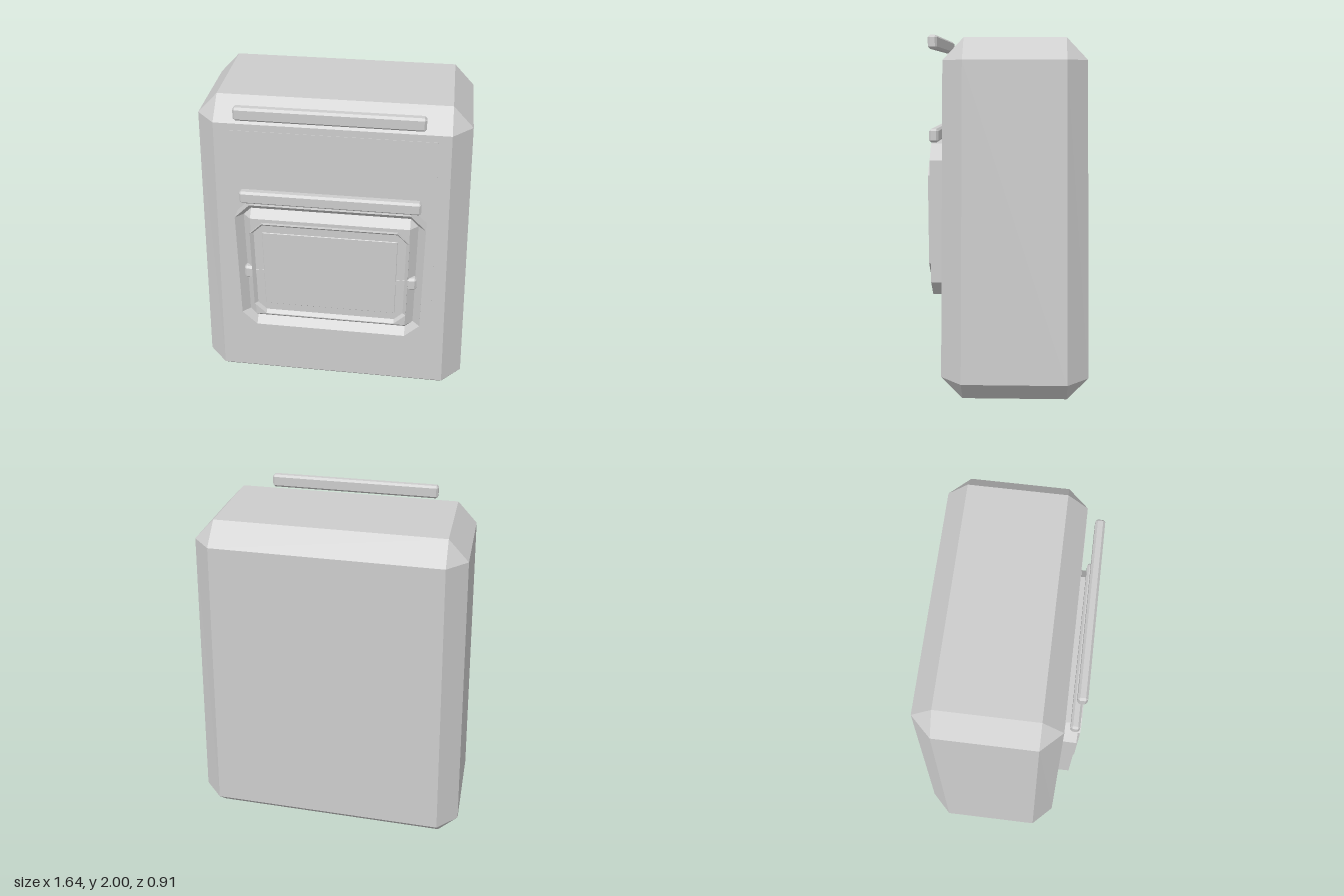
import * as THREE from 'three';

const grey = new THREE.MeshStandardMaterial({ color: 0xcccccc, flatShading: true, side: THREE.DoubleSide });
grey.name = 'plain grey';

// Box with every edge cut by c, made of four rings along z (rect, octagon, octagon, rect).
// A cut deeper than half the thickness folds the rim forward into a V groove.
function chamferBox(w, h, d, c) {
  const ring = (cut, z) => [[1, 1], [-1, 1], [-1, -1], [1, -1]].flatMap(([sx, sy]) => {
    const side = new THREE.Vector3(sx * (w - cut), sy * (h - c), z);
    const end = new THREE.Vector3(sx * (w - c), sy * (h - cut), z);
    return sx * sy > 0 ? [side, end] : [end, side];
  });
  const rings = [ring(c, -d), ring(0, c - d), ring(0, d - c), ring(c, d)];
  const points = [];
  const tri = (a, b, e) => {
    const area = b.clone().sub(a).cross(e.clone().sub(a)).length();
    if (area > 1e-9) points.push(a, b, e);
  };
  for (let r = 0; r < 3; r++) {
    for (let i = 0; i < 8; i++) {
      const j = (i + 1) % 8, low = rings[r], high = rings[r + 1];
      tri(low[i], low[j], high[j]);
      tri(low[i], high[j], high[i]);
    }
  }
  const [back, , , front] = rings;
  tri(front[0], front[2], front[4]);
  tri(front[0], front[4], front[6]);
  tri(back[0], back[4], back[2]);
  tri(back[0], back[6], back[4]);
  const geometry = new THREE.BufferGeometry().setFromPoints(points);
  geometry.computeVertexNormals();
  return geometry;
}

// Narrow a geometry towards its top
function taper(geometry, h, topX, topZ) {
  const p = geometry.attributes.position;
  for (let i = 0; i < p.count; i++) {
    const t = (p.getY(i) + h) / (2 * h);
    p.setX(i, p.getX(i) * (1 + (topX - 1) * t));
    p.setZ(i, p.getZ(i) * (1 + (topZ - 1) * t));
  }
  geometry.computeVertexNormals();
  return geometry;
}

export function createModel() {
  const group = new THREE.Group();
  const add = (name, geometry, y, z) => {
    const mesh = new THREE.Mesh(geometry, grey);
    mesh.name = name;
    mesh.position.set(0, y, z);
    group.add(mesh);
    return mesh;
  };

  // Tapered main body
  add('body', taper(chamferBox(0.826, 0.99, 0.41, 0.12), 0.99, 0.906, 0.942), 0.99, -0.043);

  // Thin front panel lying on the sloping face
  const panel = taper(new THREE.BoxGeometry(1.24, 1.66, 0.006), 0.83, 0.925, 1);
  add('frontPanel', panel, 0.99, 0.355).rotation.x = -0.0125;

  // Pocket with a grooved rim, its raised door frame and the strap across it
  add('pocket', chamferBox(0.54, 0.435, 0.045, 0.088), 0.965, 0.391);
  add('pocketDoor', chamferBox(0.455, 0.325, 0.027, 0.07), 0.965, 0.412);
  add('strap', chamferBox(0.507, 0.04, 0.025, 0.012), 0.927, 0.412);

  // Two horizontal bars
  for (const [name, y] of [['lowerBar', 1.447], ['upperBar', 1.962]]) {
    add(name, chamferBox(0.507, 0.038, 0.026, 0.012), y, 0.414);
  }
  return group;
}
